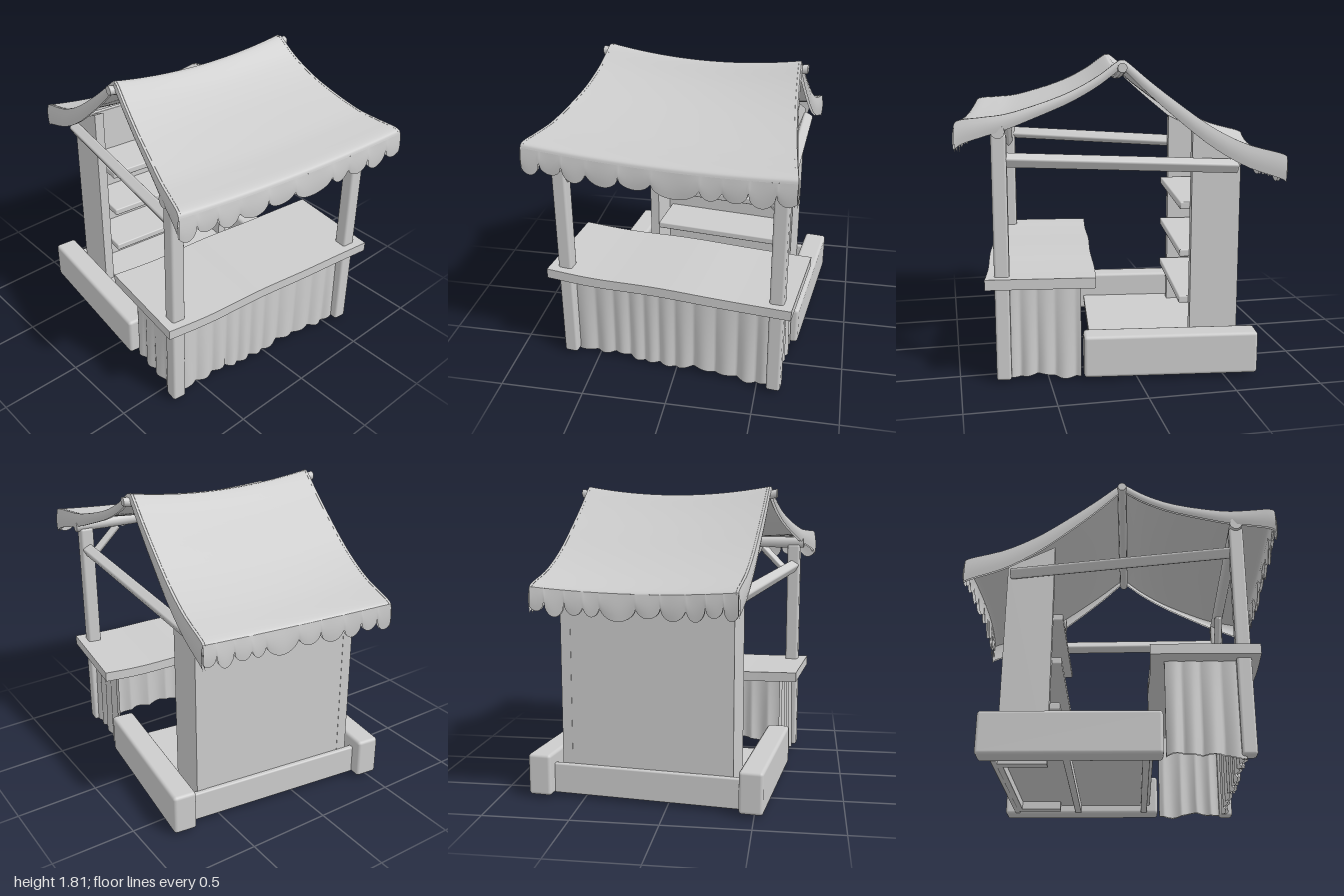
import * as THREE from 'three';
import { RoundedBoxGeometry } from 'three/addons/geometries/RoundedBoxGeometry.js';

const grey = new THREE.MeshStandardMaterial({ color: 0xcccccc, side: THREE.DoubleSide });
grey.name = 'plain grey';

// Smooth surface from a rule f(s, t) -> [x, y, z], with s and t in 0..1
function sheet(ns, nt, f) {
  const pos = [], idx = [];
  for (let j = 0; j <= nt; j++) {
    for (let i = 0; i <= ns; i++) pos.push(...f(i / ns, j / nt));
  }
  for (let j = 0; j < nt; j++) {
    for (let i = 0; i < ns; i++) {
      const a = j * (ns + 1) + i, b = a + ns + 1;
      idx.push(a, b, a + 1, a + 1, b, b + 1);
    }
  }
  const g = new THREE.BufferGeometry();
  g.setAttribute('position', new THREE.Float32BufferAttribute(pos, 3));
  g.setIndex(idx);
  g.computeVertexNormals();
  return g;
}

// Canopy: slope profile as (z, y), ridge at z = 0
const profile = new THREE.SplineCurve([[0.9, 1.475], [0.89, 1.495], [0.85, 1.507], [0.75, 1.515], [0.6, 1.535],
  [0.33, 1.62], [0.15, 1.71], [0.03, 1.795], [0, 1.805], [-0.03, 1.795], [-0.15, 1.695], [-0.3, 1.58],
  [-0.5, 1.44], [-0.7, 1.34], [-0.9, 1.285], [-0.94, 1.265]].map((p) => new THREE.Vector2(...p)));
const halfWidth = (z) => (z > 0 ? 0.585 + 0.175 * Math.pow(z / 0.9, 1.25) : 0.58);

function canopyPoint(s, t) {
  const p = profile.getPoint(t);
  const k = 2 * s - 1, mid = 1 - k * k;
  const slack = 0.03 + 0.022 * Math.exp(-p.x * p.x * 8);
  const z = p.x + (p.x < 0 ? 0.045 * mid * Math.pow(p.x / 0.94, 4) : 0);
  return [k * halfWidth(p.x), p.y - slack * mid, z];
}

// Uneven scallops along the hanging cloth edges
const notches = [-0.01, 0.07, 0.155, 0.247, 0.37, 0.489, 0.664, 0.743, 0.835, 0.93, 1.01];
function scallop(s) {
  const i = notches.findIndex((n) => n > s);
  const a = notches[i - 1], w = (s - a) / (notches[i] - a);
  return 0.07 + (0.07 + 0.012 * Math.sin(i * 2.3)) * Math.pow(Math.sin(Math.PI * w), 0.45);
}

export function createModel() {
  const root = new THREE.Group();
  root.name = 'marketStall';
  const stall = new THREE.Group();
  stall.name = 'stallBody';
  stall.rotation.y = -0.12;
  stall.position.set(0.046, 0, 0.006);
  root.add(stall);

  const add = (name, geo, x = 0, y = 0, z = 0) => {
    const m = new THREE.Mesh(geo, grey);
    m.name = name;
    m.position.set(x, y, z);
    stall.add(m);
    return m;
  };
  // Box given by its minimum and maximum corners
  const block = (name, a, b, r = 0.01) => add(name,
    new RoundedBoxGeometry(b[0] - a[0], b[1] - a[1], b[2] - a[2], 2, r),
    (a[0] + b[0]) / 2, (a[1] + b[1]) / 2, (a[2] + b[2]) / 2);
  // Square beam between two points
  const beam = (name, a, b, w) => {
    const p = new THREE.Vector3(...a), q = new THREE.Vector3(...b);
    const m = add(name, new RoundedBoxGeometry(w, w, p.distanceTo(q), 2, w * 0.2));
    m.position.copy(p).add(q).multiplyScalar(0.5);
    m.quaternion.setFromUnitVectors(new THREE.Vector3(0, 0, 1), q.sub(p).normalize());
  };
  // Round pole along x, hanging down by sag in the middle
  const pole = (name, half, r, y, z, sag) => {
    const geo = new THREE.CylinderGeometry(r, r, half * 2, 10, 16).rotateZ(Math.PI / 2);
    const p = geo.attributes.position;
    for (let i = 0; i < p.count; i++) {
      const k = p.getX(i) / half;
      p.setY(i, p.getY(i) - sag * (1 - k * k));
    }
    add(name, geo, 0, y, z);
  };

  // Cloth roof with an underside
  add('canopy', sheet(32, 64, canopyPoint));
  add('canopyLining', sheet(32, 64, (s, t) => {
    const [x, y, z] = canopyPoint(s, t);
    return [x * 0.98, y - 0.028, z * 0.985];
  }));
  // Hanging edges, each an outer and an inner face
  for (const inset of [0, 0.015]) {
    for (const [name, t, dir] of [['frontValance', 0, 1], ['backValance', 1, -1]]) {
      add(name, sheet(200, 5, (s, v) => {
        const [x, y, z] = canopyPoint(s, t);
        const bow = 0.008 * Math.sin(v * 2.4) - inset;
        return [x, y - scallop(s) * v, z + dir * bow + 0.003 * v * Math.sin(s * 40)];
      }));
    }
    for (const side of [0, 1]) {
      add('canopySideFlap', sheet(48, 4, (t, v) => {
        const [x, y, z] = canopyPoint(side, t);
        const drop = 0.055 + 0.09 * Math.pow(Math.abs(z) / 0.92, z > 0 ? 3 : 0.8);
        return [x + (side ? 1 : -1) * (0.008 * Math.sin(v * 3) - inset), y - drop * v, z];
      }));
    }
  }
  pole('ridgePole', 0.625, 0.027, 1.765, 0, 0.06);
  pole('frontPole', 0.71, 0.038, 1.435, 0.675, 0);

  // Posts, braces, side rails and low side walls
  for (const d of [-1, 1]) {
    block('frontPost', [d * 0.645 - 0.042, 0.015, 0.633], [d * 0.645 + 0.042, 1.42, 0.717], 0.015);
    beam('brace', [d * 0.645, 1.18, 0.675], [d * 0.43, 1.4, 0.675], 0.042);
    beam('sideRail', [d * 0.645, 1.275, 0.68], [d * 0.525, 1.205, -0.67], 0.065);
    block('sideWall', [d * 0.625 - 0.07, 0.018, -0.78], [d * 0.625 + 0.07, 0.265, 0.222], 0.02);
    // Side panel of the shelf unit, sloping up under the cloth
    const shape = new THREE.Shape([[0.41, 0.02], [0.69, 0.02], [0.69, 1.26], [0.41, 1.4]]
      .map((p) => new THREE.Vector2(...p)));
    const panel = new THREE.ExtrudeGeometry(shape, { depth: 0.06, bevelEnabled: false });
    panel.rotateY(Math.PI / 2);
    add('shelfSidePanel', panel, d * 0.48 - 0.03, 0, 0);
  }

  // Shelf unit, floor and the joists under it
  block('backPanel', [-0.46, 0.02, -0.688], [0.46, 1.27, -0.655], 0.004);
  block('backBaseBoard', [-0.56, 0.02, -0.715], [0.56, 0.2, -0.68]);
  for (const y of [0.39, 0.675, 0.96]) {
    block('shelf', [-0.432, y - 0.022, -0.66], [0.438, y + 0.022, -0.355], 0.008);
  }
  block('floor', [-0.565, 0.07, -0.69], [0.565, 0.11, 0.17], 0.008);
  for (const z of [-0.3, 0.13]) block('floorJoist', [-0.56, 0.022, z - 0.02], [0.56, 0.075, z + 0.02], 0.006);

  // Slightly warped counter top
  const top = new THREE.BoxGeometry(1.48, 0.06, 0.61, 24, 1, 6);
  const p = top.attributes.position;
  for (let i = 0; i < p.count; i++) {
    const x = p.getX(i);
    p.setY(i, p.getY(i) + 0.005 * Math.sin(x * 7 + 1));
    p.setZ(i, p.getZ(i) + 0.004 * Math.sin(x * 9));
  }
  top.computeVertexNormals();
  add('counterTop', top, 0, 0.597, 0.46);

  // Gathered cloth around the front and sides of the counter, outer and inner face
  for (const inset of [0, 0.015]) {
    const w = 0.645, front = 0.66, back = 0.235, sideLen = front - back, total = 2 * sideLen + 2 * w;
    add('counterCloth', sheet(240, 6, (s, v) => {
      const l = s * total;
      let x, z, nx = 0, nz = 0;
      if (l < sideLen) { x = -w; z = back + l; nx = -1; }
      else if (l < sideLen + 2 * w) { x = -w + l - sideLen; z = front; nz = 1; }
      else { x = w; z = front - (l - sideLen - 2 * w); nx = 1; }
      const fold = Math.abs(Math.sin(l * 28 + 0.8 * Math.sin(l * 7))) - 0.6;
      const off = fold * (0.008 + 0.017 * v) + 0.006 * v - inset;
      const hem = 0.02 + 0.012 * Math.sin(l * 11) + 0.008 * Math.sin(l * 27);
      return [x + nx * off, 0.575 + (hem - 0.575) * v, z + nz * off];
    }));
  }

  return root;
}
